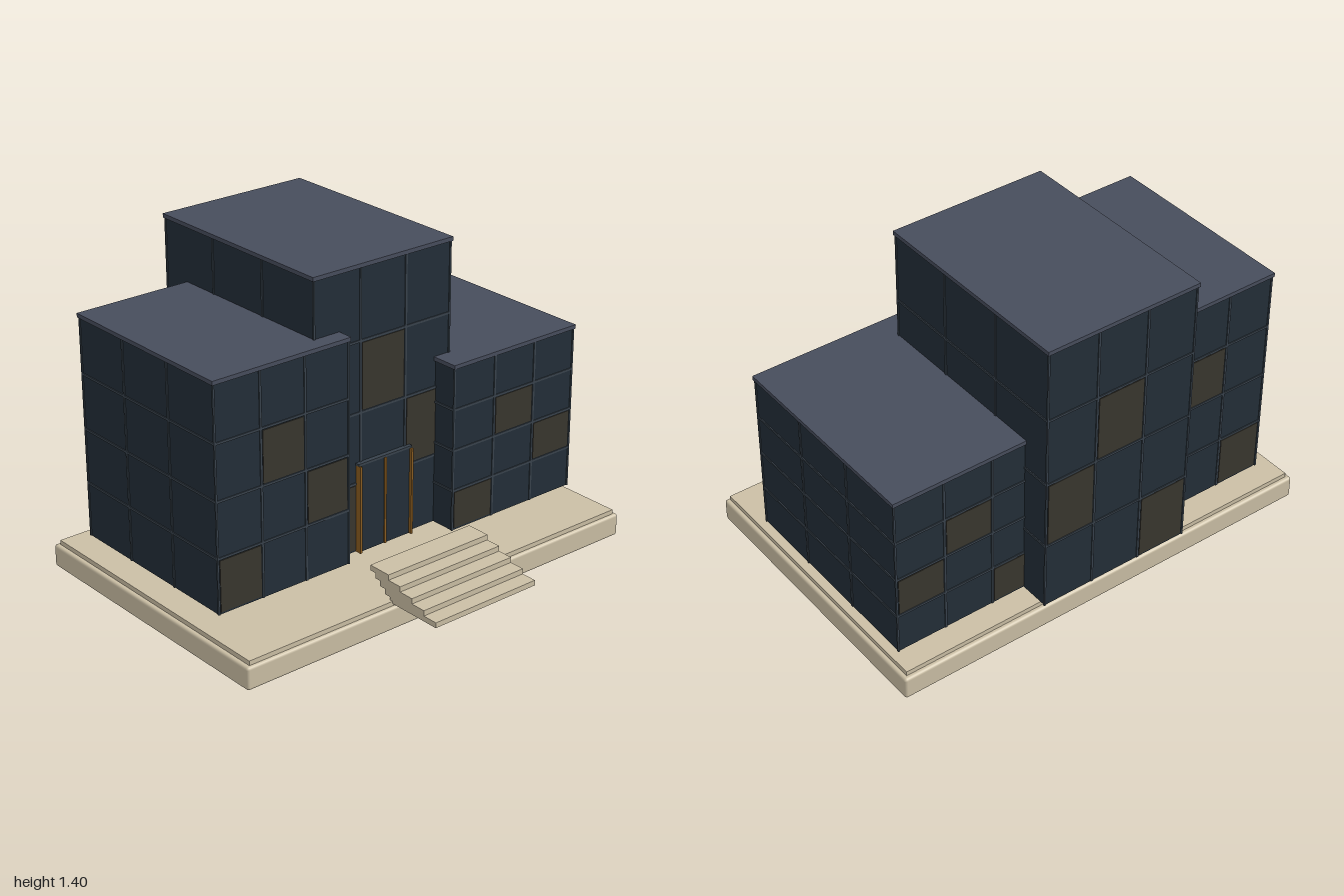
import * as THREE from 'three';
import { RoundedBoxGeometry } from 'three/addons/geometries/RoundedBoxGeometry.js';

const material = (name, color) => {
  const m = new THREE.MeshStandardMaterial({ color });
  m.name = name;
  return m;
};

export function createModel() {
  const stone = material('sandstone', 0xcbbfa5);
  const roof = material('slate roof', 0x474d5c);
  const glass = material('dark glass', 0x232e38);
  const lit = material('warm window', 0x39362e);
  const frame = material('window frame', 0x38424c);
  const amber = material('bronze door trim', 0x8a5c20);

  const model = new THREE.Group();
  model.name = 'officeBuilding';

  // Box given by its minimum and maximum corners
  const box = (parent, name, mat, x0, x1, y0, y1, z0, z1) => {
    const mesh = new THREE.Mesh(new THREE.BoxGeometry(x1 - x0, y1 - y0, z1 - z0), mat);
    mesh.position.set((x0 + x1) / 2, (y0 + y1) / 2, (z0 + z1) / 2);
    mesh.name = name;
    parent.add(mesh);
    return mesh;
  };

  // Plinth with softened edges and a thinner slab on top
  const plinth = new THREE.Mesh(new RoundedBoxGeometry(2, 0.1, 1.32, 2, 0.012), stone);
  plinth.position.set(0, 0.05, -0.1);
  plinth.name = 'plinth';
  model.add(plinth);
  box(model, 'plinthSlab', stone, -0.98, 0.98, 0.09, 0.12, -0.74, 0.545);

  // Tower: glass body, 3 x 4 grid of frames on each side, roof cap
  const Y0 = 0.15, T = 0.004, W = 0.005;
  const litCells = [[0, 0], [1, 2], [2, 1]]; // column, row
  const tower = (name, x0, x1, top, z0, z1) => {
    const g = new THREE.Group();
    g.name = name;
    model.add(g);
    const wallTop = top - 0.018;
    const colW = (x1 - x0) / 3, rowH = (wallTop - Y0) / 4, colD = (z1 - z0) / 3;
    box(g, 'glassBody', glass, x0, x1, Y0, wallTop, z0, z1);
    box(g, 'roofCap', roof, x0 - 0.008, x1 + 0.008, wallTop, top, z0 - 0.008, z1 + 0.008);

    // Floor bands wrap around the body
    for (let r = 1; r < 4; r++) {
      const y = Y0 + r * rowH;
      box(g, 'floorBand', frame, x0 - T, x1 + T, y - W, y + W, z0 - T, z1 + T);
    }
    // Mullions pass through to the opposite wall
    for (let c = 1; c < 3; c++) {
      const x = x0 + c * colW, z = z0 + c * colD;
      box(g, 'mullion', frame, x - W, x + W, Y0, wallTop, z0 - T, z1 + T);
      box(g, 'sideMullion', frame, x0 - T, x1 + T, Y0, wallTop, z - W, z + W);
    }
    // Corner posts
    for (const x of [x0, x1]) for (const z of [z0, z1]) {
      box(g, 'cornerPost', frame, x - T, x + T, Y0, wallTop, z - T, z + T);
    }
    // Lit windows on the front and back walls
    for (const [c, r] of litCells) for (const z of [z0, z1]) {
      const x = x0 + c * colW, y = Y0 + r * rowH;
      box(g, 'litWindow', lit, x + 0.009, x + colW - 0.009, y + 0.009, y + rowH - 0.009, z - 0.003, z + 0.003);
    }
  };
  tower('rightTower', -0.887, -0.233, 1.14, -0.645, 0.235);
  tower('centralTower', -0.353, 0.353, 1.4, -0.79, 0.172);
  tower('leftTower', 0.283, 0.957, 0.9, -0.655, 0.288);

  // Entrance: two glass leaves, lintel and bronze uprights
  const door = new THREE.Group();
  door.name = 'entrance';
  model.add(door);
  for (const s of [-1, 1]) {
    box(door, 'doorLeaf', glass, s * 0.07 - 0.066, s * 0.07 + 0.066, Y0, 0.54, 0.172, 0.188);
  }
  box(door, 'lintel', frame, -0.143, 0.143, 0.54, 0.55, 0.172, 0.192);
  for (const x of [-0.137, 0, 0.137]) {
    box(door, 'doorUpright', amber, x - 0.005, x + 0.005, Y0, 0.54, 0.172, x ? 0.202 : 0.194);
  }

  // Front steps, each set back above the last
  const steps = new THREE.Group();
  steps.name = 'frontSteps';
  model.add(steps);
  for (let i = 0; i < 5; i++) {
    const y = 0.11 + i * 0.0235;
    box(steps, 'step', stone, -0.267, 0.267, y, y + 0.0235, 0.53 - i * 0.03, 0.8 - i * 0.07);
  }
  return model;
}
